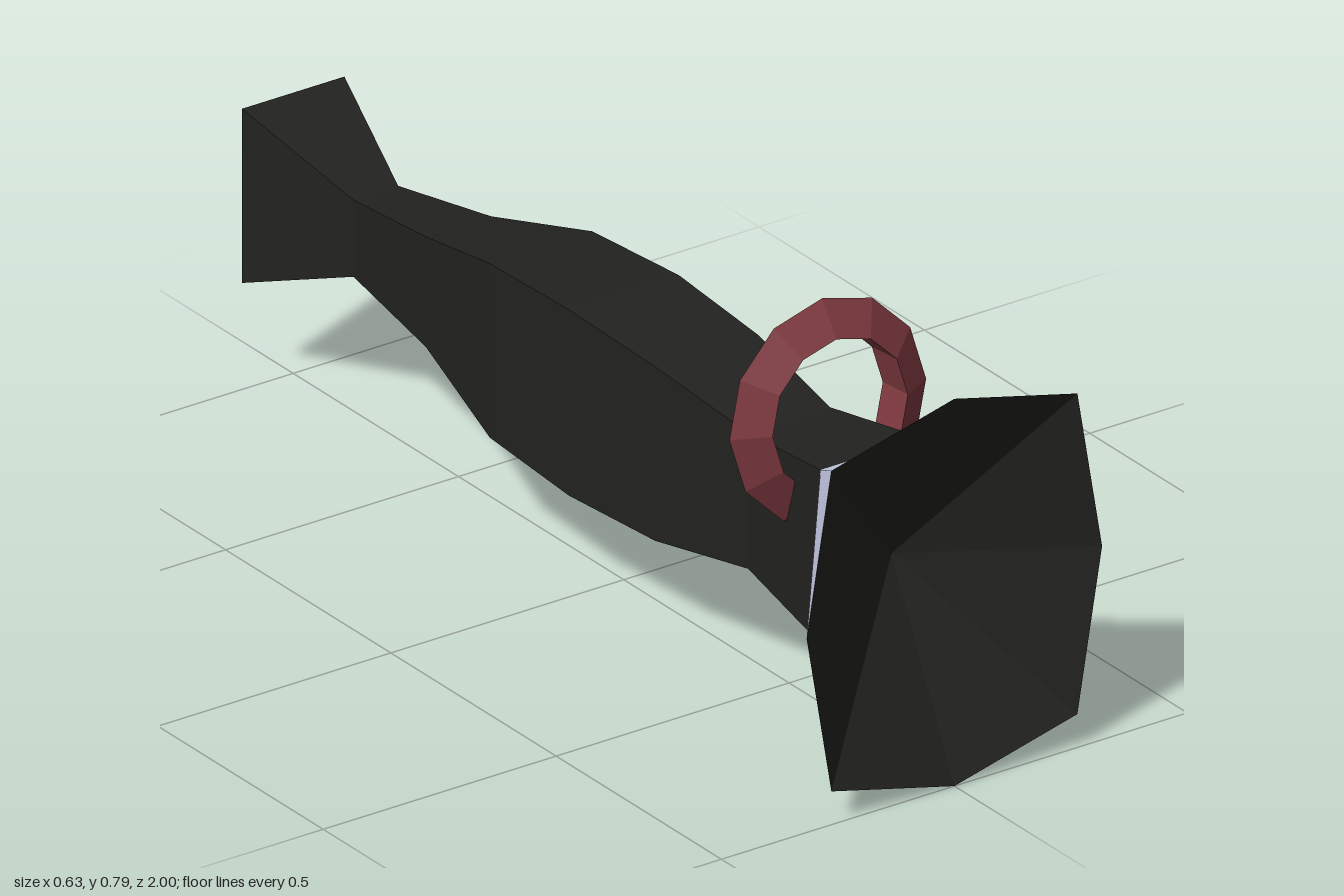
import * as THREE from 'three';

const MID = 0.38; // height of the long axis

// Flat-shaded geometry from a list of triangles (each three [x, y, z] points)
function fromTriangles(tris) {
  const g = new THREE.BufferGeometry();
  g.setAttribute('position', new THREE.Float32BufferAttribute(tris.flat(2), 3));
  g.computeVertexNormals();
  return g;
}

// Skin between successive rings, ordered counter-clockwise seen from +z, back to front
function loft(rings) {
  const tris = [];
  for (let r = 0; r < rings.length - 1; r++) {
    const a = rings[r], b = rings[r + 1], n = a.length;
    for (let i = 0; i < n; i++) {
      const j = (i + 1) % n;
      tris.push([a[i], a[j], b[j]], [a[i], b[j], b[i]]);
    }
  }
  return tris;
}

function rect(z, w, h0, h1) {
  return [[w, h0, z], [w, h1, z], [-w, h1, z], [-w, h0, z]];
}

// Eight-point ring: half extents at the side, corner and top
function eight(z, sx, cx, cy, ty) {
  return [[sx, 0], [cx, cy], [0, ty], [-cx, cy], [-sx, 0], [-cx, -cy], [0, -ty], [cx, -cy]]
    .map(([x, y]) => [x, MID + y, z]);
}

export function createModel() {
  const group = new THREE.Group();
  const add = (name, geometry, color) => {
    const material = new THREE.MeshStandardMaterial({ color, flatShading: true });
    const mesh = new THREE.Mesh(geometry, material);
    mesh.name = name;
    group.add(mesh);
    return mesh;
  };

  // Swelling rectangular handle: z, half width, bottom, top
  const rings = [
    [-1, 0.11, 0.21, 0.55], [-0.75, 0.048, 0.305, 0.455], [-0.5, 0.07, 0.275, 0.49],
    [-0.25, 0.11, 0.21, 0.55], [0, 0.118, 0.2, 0.563], [0.25, 0.11, 0.21, 0.55],
    [0.5, 0.088, 0.25, 0.515], [0.75, 0.11, 0.21, 0.55],
  ].map((s) => rect(...s));
  const body = loft(rings);
  const [p, q, r, s] = rings[0];
  body.push([p, r, q], [p, s, r]); // rear cap
  add('handle', fromTriangles(body), 0x222220);

  // Flared bell at the front
  const rim = eight(1, 0.317, 0.264, 0.313, 0.378);
  add('bell', fromTriangles(loft([eight(0.75, 0.11, 0.11, 0.17, 0.17), rim])), 0xd2d6f2);

  // Dark hollow inside the bell
  const apex = [0, MID, 0.81];
  add('bellHollow', fromTriangles(rim.map((v, i) => [v, rim[(i + 1) % 8], apex])), 0x222220);

  // Finger ring with a triangular section, leaning back slightly
  const ring = add('ring', new THREE.TorusGeometry(0.167, 0.044, 3, 12), 0x7f3a40);
  ring.position.set(0, 0.583, 0.617);
  ring.rotation.x = -0.08;

  return group;
}
